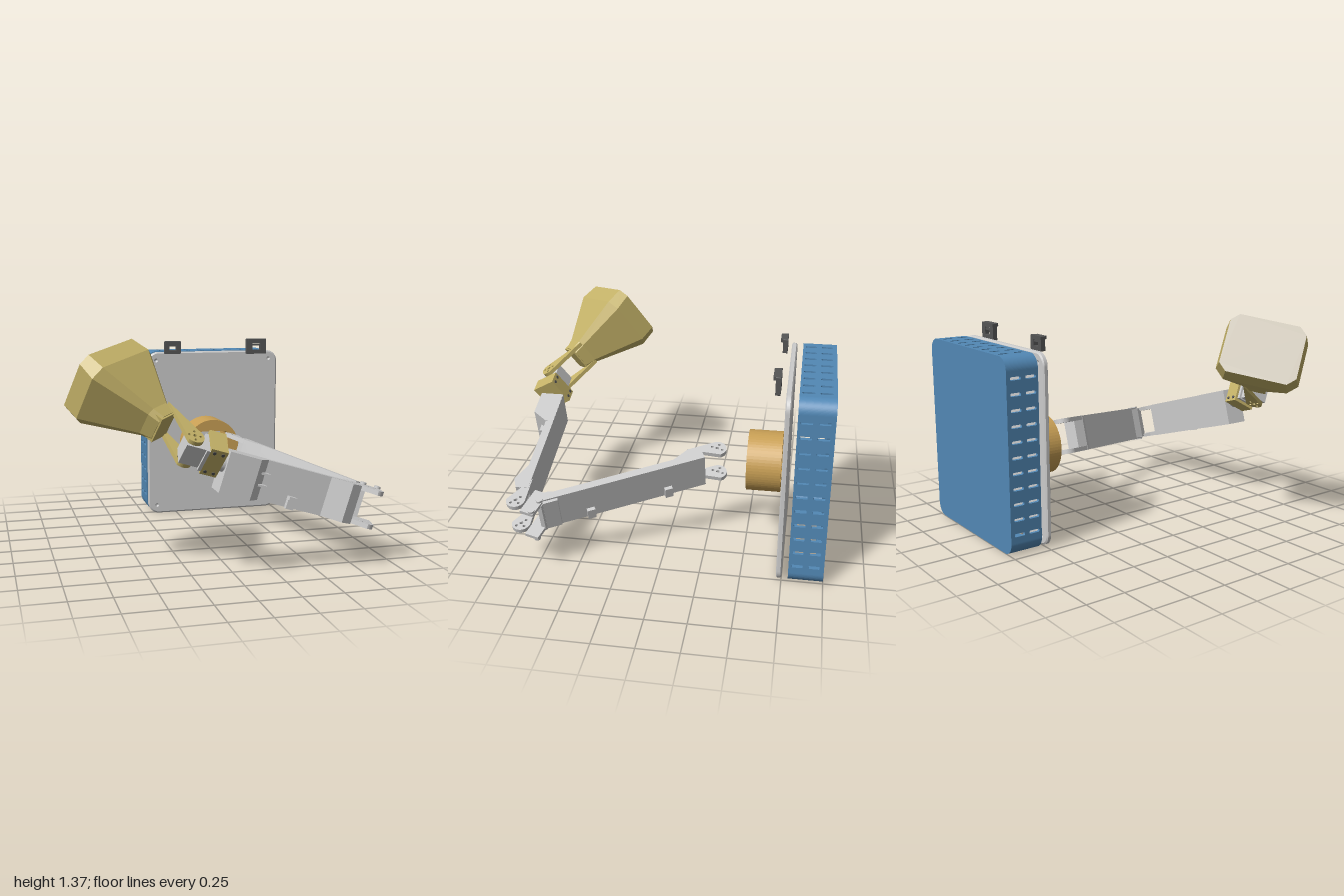
import * as THREE from 'three';

const mat = (color, flat = false) =>
  new THREE.MeshStandardMaterial({ color, flatShading: flat, side: THREE.DoubleSide });
const GREY = mat(0xcccccc), BLUE = mat(0x5288b5), GOLD = mat(0xc9a055);
const BRASS = mat(0xc4b268, true), DARK = mat(0x555555), BEIGE = mat(0xc8c0b0);

function add(parent, name, geo, material, x = 0, y = 0, z = 0) {
  const m = new THREE.Mesh(geo, material);
  m.name = name;
  m.position.set(x, y, z);
  parent.add(m);
  return m;
}
function group(parent, name, x = 0, y = 0, z = 0) {
  const g = new THREE.Group();
  g.name = name;
  g.position.set(x, y, z);
  parent.add(g);
  return g;
}
const box = (x, y, z) => new THREE.BoxGeometry(x, y, z);
const extrude = (shape, depth, opt = {}) =>
  new THREE.ExtrudeGeometry(shape, { depth, bevelEnabled: false, curveSegments: 10, ...opt });

// Rounded rectangle centred on cx, cy
function roundRect(Type, cx, cy, w, h, r) {
  const s = new Type(), a = w / 2 - r, b = h / 2 - r, q = Math.PI / 2;
  s.absarc(cx + a, cy + b, r, 0, q);
  s.absarc(cx - a, cy + b, r, q, 2 * q);
  s.absarc(cx - a, cy - b, r, 2 * q, 3 * q);
  s.absarc(cx + a, cy - b, r, 3 * q, 4 * q);
  s.closePath();
  return s;
}
const hole = (x, y, r) => new THREE.Path().absarc(x, y, r, 0, Math.PI * 2);

// Outline in the x-z plane, raised from y0 to y1
function plan(shape, y0, y1) {
  return extrude(shape, y1 - y0).rotateX(-Math.PI / 2).translate(0, y0, 0);
}
const poly = (pts, s = 1) => new THREE.Shape(pts.map(([x, z]) => new THREE.Vector2(x, -z * s)));

// Rounded hinge ear with a ring of screw holes round its pivot
function earShape(len, r, w) {
  const s = new THREE.Shape();
  s.moveTo(len, w);
  s.absarc(0, 0, r, Math.PI / 2, Math.PI * 1.5);
  s.lineTo(len, -w);
  s.closePath();
  s.holes.push(hole(0, 0, 0.012));
  for (let i = 0; i < 4; i++) {
    const a = (i + 0.5) * Math.PI / 2;
    s.holes.push(hole(0.034 * Math.cos(a), 0.034 * Math.sin(a), 0.009));
  }
  return s;
}

// Hollow vented housing, open towards the panel
function buildHousing(root) {
  const g = group(root, 'housing', 0.285, 0.6, -1);
  const W = 0.99, H = 1.2, D = 0.21, R = 0.08, T = 0.02, q = Math.PI / 2;
  add(g, 'housingBack', extrude(roundRect(THREE.Shape, 0, 0, W, H, R), 0.015), BLUE);
  const corner = new THREE.Shape();
  corner.absarc(0, 0, R, 0, q);
  corner.absarc(0, 0, R - T, q, 0, true);
  corner.closePath();
  [[1, 1], [-1, 1], [-1, -1], [1, -1]].forEach(([sx, sy], i) => {
    const c = add(g, 'housingCorner', extrude(corner, D), BLUE, sx * (W / 2 - R), sy * (H / 2 - R), 0);
    c.rotation.z = i * q;
  });
  const rect = (w, h) => new THREE.Shape([[0, -w], [h, -w], [h, w], [0, w]].map(p => new THREE.Vector2(...p)));
  // side walls
  for (const s of [-1, 1]) {
    const wall = rect(H / 2 - R, D);
    for (let i = 0; i < 11; i++)
      for (const z of [0.06, 0.16]) wall.holes.push(roundRect(THREE.Path, z, -0.47 + i * 0.0945, 0.07, 0.02, 0.008));
    add(g, 'ventedSide', extrude(wall, T).rotateY(-q), BLUE, s > 0 ? W / 2 : -W / 2 + T, 0, 0);
  }
  // top wall with slots, bottom wall with one long opening
  const a = W / 2 - R;
  const flat = () => new THREE.Shape([[-a, 0], [a, 0], [a, D], [-a, D]].map(p => new THREE.Vector2(...p)));
  const top = flat(), bottom = flat();
  for (let i = 0; i < 8; i++)
    for (const z of [0.06, 0.16]) top.holes.push(roundRect(THREE.Path, -0.365 + i * 0.1045, z, 0.025, 0.07, 0.012));
  bottom.holes.push(roundRect(THREE.Path, 0, 0.11, 0.48, 0.13, 0.005));
  add(g, 'ventedTop', extrude(top, T).rotateX(q), BLUE, 0, H / 2, 0);
  add(g, 'housingBottom', extrude(bottom, T).rotateX(q), BLUE, 0, -H / 2 + T, 0);
}

// Front cover, round mount and the two clips
function buildFront(root) {
  const cover = roundRect(THREE.Shape, 0, 0, 0.97, 1.18, 0.07);
  for (const x of [-0.43, 0.43]) for (const y of [-0.54, 0.54]) cover.holes.push(hole(x, y, 0.014));
  add(root, 'coverPanel', extrude(cover, 0.02, { bevelEnabled: true, bevelSize: 0.01, bevelThickness: 0.007, bevelSegments: 1 }),
    GREY, 0.285, 0.6, -0.745);

  const mount = new THREE.Shape().absarc(0, 0, 0.193, 0, Math.PI * 2);
  mount.holes.push(roundRect(THREE.Path, 0, 0, 0.23, 0.22, 0.03));
  add(root, 'roundMount', extrude(mount, 0.215, { curveSegments: 32 }), GOLD, 0.22, 0.53, -0.705);

  for (const [x, y, w, h, z] of [[-0.03, 1.235, 0.12, 0.09, -0.695], [0.6, 1.235, 0.15, 0.11, -0.685]]) {
    const g = group(root, 'clip', x, y, z);
    const plate = roundRect(THREE.Shape, 0, 0, w, h, 0.004);
    plate.holes.push(roundRect(THREE.Path, 0, 0, w * 0.42, h * 0.45, 0.003));
    add(g, 'clipPlate', extrude(plate, 0.03), DARK);
    add(g, 'clipLip', box(w * 0.9, 0.02, 0.045), DARK, 0, h / 2 - 0.01, 0.022);
    add(g, 'clipBar', box(w * 0.42, 0.012, 0.015), DARK, 0, 0.012, 0.01);
  }
}

// Arm link: hinge ears at the origin, thin beam running along +x on side s
function buildLink(parent, name, length, s) {
  const g = group(parent, name);
  add(g, 'beam', plan(poly([[0.1, 0], [length, 0], [length, 0.05], [0.1, 0.05]], s), -0.12, 0.12), GREY);
  add(g, 'hingeWeb', plan(poly([[0.1, 0.05], [0.1, -0.03], [0.17, -0.058], [0.29, 0], [0.29, 0.04]], s), -0.119, 0.119), GREY);
  for (const v of [-1, 1]) {
    add(g, 'hingeEar', plan(earShape(0.18, 0.058, 0.056), -0.014, 0.014), GREY, 0, v * 0.104, 0);
  }
  return g;
}
function cableTab(link, x, s) {
  add(link, 'cableTab', box(0.05, 0.07, 0.03), GREY, x, -0.09, s * -0.014);
  add(link, 'cableTabTip', box(0.05, 0.02, 0.045), GREY, x, -0.06, s * -0.02);
}

function buildArm(root) {
  const arm = group(root, 'arm', 0.285, 0.53, 0);
  arm.rotation.z = -0.3;

  const lower = buildLink(arm, 'lowerArm', 1.12, -1);
  lower.position.z = -0.3;
  lower.rotation.y = -1.104;
  add(lower, 'endBlock', plan(poly([[1.02, 0], [1.08, -0.02], [1.13, -0.02], [1.13, 0.07], [1.04, 0.07]], -1), -0.11, 0.11), GREY);
  for (const x of [0.35, 0.85]) {
    add(lower, 'cableTab', box(0.05, 0.07, 0.03), GREY, x, -0.085, -0.06);
  }

  // elbow bracket: two plates joined by a web
  const elbow = group(arm, 'elbowBracket', 0.565, 0, 0.733);
  elbow.rotation.y = -0.27;
  add(elbow, 'elbowWeb', box(0.09, 0.2, 0.03), GREY, -0.04, 0, -0.035);
  for (const v of [-1, 1]) {
    add(elbow, 'elbowPlate', box(0.18, 0.022, 0.09), GREY, 0, v * 0.103, 0);
    for (const x of [-0.02, 0.07])
      add(elbow, 'elbowBoss', new THREE.CylinderGeometry(0.02, 0.02, 0.02, 16), GREY, x, v * 0.118, -0.025);
  }

  const upper = buildLink(arm, 'upperArm', 0.97, 1);
  upper.position.set(0.56, 0, 0.847);
  upper.rotation.y = Math.PI;
  add(upper, 'servoHousing', plan(poly([[0.7, 0.048], [0.97, 0.048], [0.97, -0.1], [0.78, -0.1], [0.7, 0]]), -0.121, 0.121), GREY);
  for (const v of [-0.03, 0.04]) add(upper, 'housingRib', box(0.07, 0.012, 0.05), GREY, 0.715, v, -0.025);
  cableTab(upper, 0.5, 1);
  const neck = add(arm, 'wristShaft', new THREE.CylinderGeometry(0.05, 0.05, 0.06, 24), GREY, -0.425, 0.04, 0.88);
  neck.rotation.z = Math.PI / 2;
  buildWrist(arm);
}

// Tapered body through chamfered rectangles [x, halfHeight, halfWidth, chamfer]
function loft(sections) {
  const ring = ([x, h, w, c]) => [[h, w - c], [h - c, w], [c - h, w], [-h, w - c], [-h, c - w], [c - h, -w], [h - c, -w], [h, c - w]]
    .map(([y, z]) => [x, y, z]);
  const rings = sections.map(ring), index = [];
  for (let k = 0; k < rings.length - 1; k++)
    for (let i = 0; i < 8; i++) {
      const a = k * 8 + i, b = k * 8 + (i + 1) % 8;
      index.push(a, b, a + 8, b, b + 8, a + 8);
    }
  for (let i = 1; i < 7; i++) index.push(0, i + 1, i);
  const g = new THREE.BufferGeometry();
  g.setAttribute('position', new THREE.Float32BufferAttribute(rings.flat(2), 3));
  g.setIndex(index);
  const flat = g.toNonIndexed();
  flat.computeVertexNormals();
  return { body: flat, end: rings[rings.length - 1] };
}

// Rolled wrist with clamp, servo and flared horn
function buildWrist(arm) {
  const w = group(arm, 'wrist', -0.636, 0.072, 0.9);
  w.rotation.x = 0.555;
  add(w, 'wristServo', box(0.15, 0.135, 0.12), GREY, 0.035, 0, 0);
  add(w, 'servoFlange', box(0.02, 0.15, 0.15), GREY, 0.085, 0, 0);
  add(w, 'wristClamp', box(0.1, 0.19, 0.165), BRASS, 0.145, 0, -0.01);
  for (const y of [-0.07, 0.07]) for (const x of [0.12, 0.17]) {
    const screw = add(w, 'clampScrew', new THREE.CylinderGeometry(0.01, 0.01, 0.174, 12), DARK, x, y, -0.01);
    screw.rotation.x = Math.PI / 2;
  }

  const horn = group(w, 'horn');
  horn.rotation.y = 2.42;
  for (const v of [-1, 1]) {
    add(horn, 'hornFork', plan(earShape(0.27, 0.055, 0.085), -0.013, 0.013), BRASS, 0, v * 0.085, 0);
  }
  add(horn, 'forkBridge', box(0.05, 0.17, 0.13), BRASS, 0.215, 0, 0);
  const { body, end } = loft([[0.2, 0.09, 0.07, 0.03], [0.27, 0.1, 0.09, 0.03], [0.58, 0.205, 0.262, 0.06], [0.7, 0.2, 0.24, 0.05]]);
  add(horn, 'hornBody', body, BRASS);
  const face = new THREE.Shape(end.map(([, y, z]) => new THREE.Vector2(-z, y)));
  add(horn, 'hornFace', new THREE.ShapeGeometry(face).rotateY(Math.PI / 2), BEIGE, 0.7, 0, 0);
}

export function createModel() {
  const root = new THREE.Group();
  root.name = 'armStation';
  buildHousing(root);
  buildFront(root);
  buildArm(root);
  return root;
}
